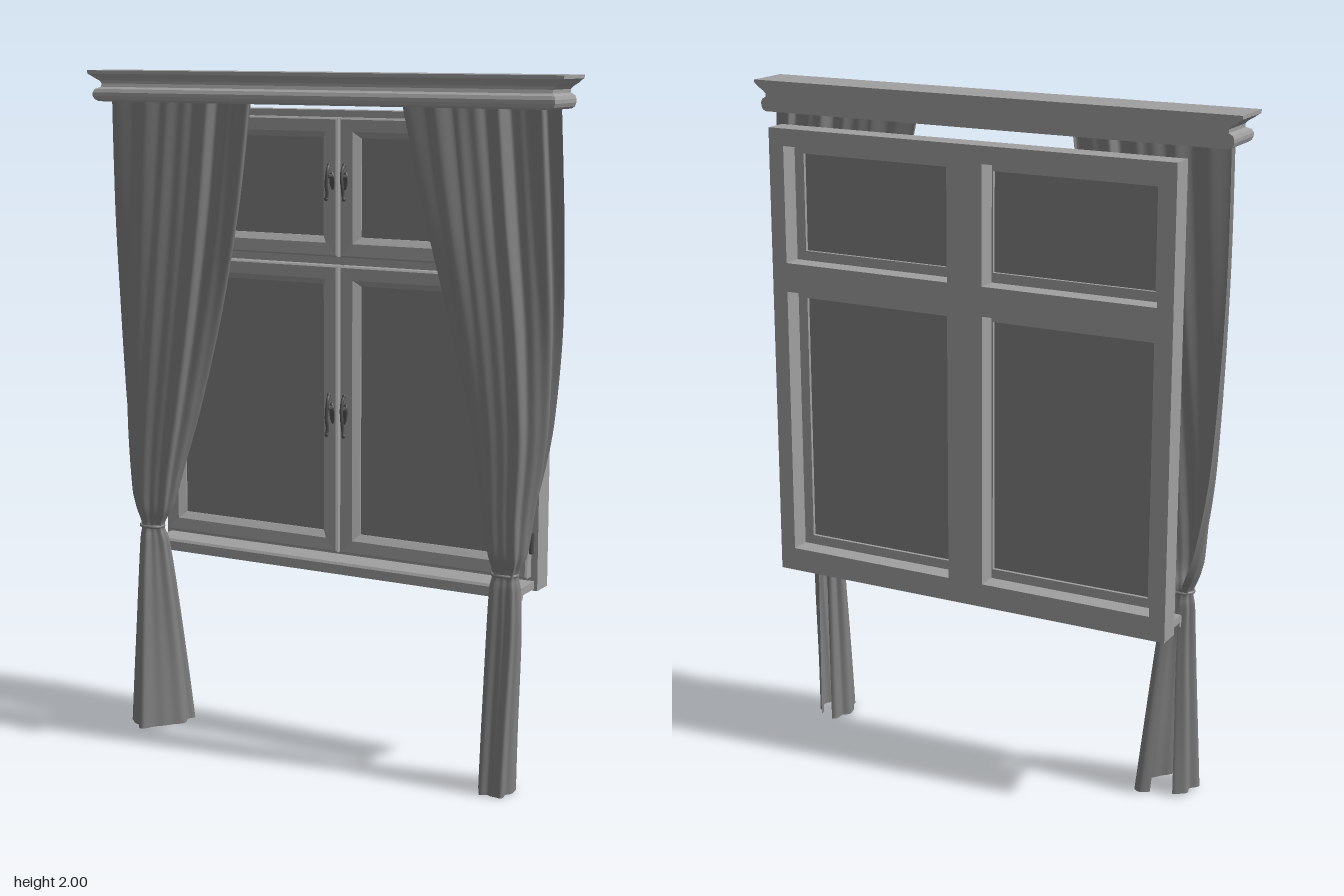
import * as THREE from 'three';

const wood = new THREE.MeshStandardMaterial({ color: 0xa0a0a0, flatShading: true });
const glass = new THREE.MeshStandardMaterial({ color: 0x808080, flatShading: true });
const metal = new THREE.MeshStandardMaterial({ color: 0x505050 });
const cloth = new THREE.MeshStandardMaterial({ color: 0x808080, side: THREE.DoubleSide });

function add(parent, name, geometry, material) {
  const mesh = new THREE.Mesh(geometry, material);
  mesh.name = name;
  parent.add(mesh);
  return mesh;
}

// Joins four-cornered rings into mitred faces; either closes the loop or caps both ends
function loft(rings, closed) {
  const pos = [];
  const quad = (a, b, c, d) => [a, b, c, a, c, d].forEach((p) => pos.push(...p));
  const count = closed ? rings.length : rings.length - 1;
  for (let i = 0; i < count; i++) {
    const a = rings[i], b = rings[(i + 1) % rings.length];
    for (let k = 0; k < 4; k++) {
      const n = (k + 1) % 4;
      quad(a[k], a[n], b[n], b[k]);
    }
  }
  if (!closed) {
    const a = rings[0], b = rings[rings.length - 1];
    quad(a[3], a[2], a[1], a[0]);
    quad(b[0], b[1], b[2], b[3]);
  }
  const g = new THREE.BufferGeometry();
  g.setAttribute('position', new THREE.Float32BufferAttribute(pos, 3));
  g.computeVertexNormals();
  return g;
}

// Moulded cornice, stepping in on the front and both ends; back stays flat
function cornice() {
  const profile = [ // half width, front, height
    [0.724, 0.116, 1.91], [0.734, 0.124, 1.916], [0.738, 0.128, 1.926], [0.738, 0.128, 1.936],
    [0.734, 0.122, 1.946], [0.722, 0.108, 1.952], [0.722, 0.104, 1.962], [0.73, 0.104, 1.97],
    [0.745, 0.111, 1.979], [0.753, 0.118, 1.986], [0.76, 0.122, 1.99], [0.76, 0.122, 2],
  ];
  return loft(profile.map(([x, z, y]) =>
    [[-x, y, z], [x, y, z], [x, y, -0.015], [-x, y, -0.015]]), false);
}

// Opening sash: mitred, gently sloping border and a pane
function sash(parent, x0, x1, y0, y1) {
  const g = new THREE.Group();
  g.name = 'sash';
  parent.add(g);
  const profile = [ // inset, depth
    [0, -0.098], [0, -0.06], [0.005, -0.055], [0.04, -0.059], [0.058, -0.078], [0.058, -0.098],
  ];
  add(g, 'sashBorder', loft(profile.map(([d, z]) =>
    [[x0 + d, y0 + d, z], [x1 - d, y0 + d, z], [x1 - d, y1 - d, z], [x0 + d, y1 - d, z]]), true), wood);
  const pane = add(g, 'pane', new THREE.BoxGeometry(x1 - x0 - 0.11, y1 - y0 - 0.11, 0.006), glass);
  pane.position.set((x0 + x1) / 2, (y0 + y1) / 2, -0.085);
}

// Curved lever on an upright plate
function handle(parent, x, y, side, s) {
  const g = new THREE.Group();
  g.name = 'handle';
  g.position.set(x, y, -0.056);
  g.rotation.z = -side * 0.08;
  g.scale.set(1, s, 1);
  parent.add(g);
  const plate = add(g, 'handlePlate', new THREE.CylinderGeometry(0.008, 0.01, 0.006, 12), metal);
  plate.rotation.x = Math.PI / 2;
  plate.scale.z = 3;
  const stem = add(g, 'handleStem', new THREE.CylinderGeometry(0.005, 0.006, 0.024, 10), metal);
  stem.rotation.x = Math.PI / 2;
  stem.position.set(0, 0.014, 0.012);
  const path = new THREE.CatmullRomCurve3([
    [0, 0.046, 0.012], [0, 0.036, 0.02], [side * 0.002, 0.014, 0.026], [side * 0.006, -0.012, 0.026],
    [side * 0.008, -0.035, 0.02], [side * 0.012, -0.05, 0.021],
  ].map((p) => new THREE.Vector3(...p)));
  add(g, 'handleLever', new THREE.TubeGeometry(path, 20, 0.005, 8), metal);
  for (const t of [0, 1]) {
    const tip = add(g, 'handleTip', new THREE.SphereGeometry(0.006, 10, 8), metal);
    tip.position.copy(path.getPoint(t));
  }
}

// Gathered cloth. Rows: y, xMin, xMax, zBack, zFront, wrap angle, fold depth, skew of the +x half
function curtain(rows, phase) {
  const across = 120, up = 90;
  const splines = rows[0].map((_, c) => new THREE.SplineCurve(rows.map((r, i) => new THREE.Vector2(r[c], i))));
  const pos = [], index = [];
  for (let j = 0; j <= up; j++) {
    const [y, xa, xb, za, zb, wrap, fold, skew] = splines.map((s) => s.getPoint(j / up).x);
    const line = [];
    for (let i = 0; i <= across; i++) {
      const u = (i / across) * 2 - 1, a = wrap * u;
      const r = 1 + fold * (Math.cos(15 * u + phase) + 0.5 * Math.cos(26 * u + 2 * phase + y * 0.8));
      line.push([r * Math.sin(a), r * Math.cos(a) + skew * Math.max(0, Math.sin(a))]);
    }
    // fit the section to its width and depth
    const [lx, hx, lz, hz] = [0, 1].flatMap((k) => {
      const v = line.map((p) => p[k]);
      return [Math.min(...v), Math.max(...v)];
    });
    for (const [x, z] of line) {
      pos.push(xa + ((x - lx) / (hx - lx)) * (xb - xa), y, za + ((z - lz) / (hz - lz)) * (zb - za));
    }
  }
  for (let j = 0; j < up; j++) {
    for (let i = 0; i < across; i++) {
      const a = j * (across + 1) + i, b = a + across + 1;
      index.push(a, b, a + 1, a + 1, b, b + 1);
    }
  }
  const g = new THREE.BufferGeometry();
  g.setAttribute('position', new THREE.Float32BufferAttribute(pos, 3));
  g.setIndex(index);
  g.computeVertexNormals();
  return g;
}

export function createModel() {
  const model = new THREE.Group();
  model.name = 'curtainedWindow';
  add(model, 'cornice', cornice(), wood);

  // Fixed frame with four openings
  const frame = new THREE.Shape();
  frame.moveTo(-0.64, 0.55).lineTo(0.62, 0.55).lineTo(0.62, 1.89).lineTo(-0.64, 1.89).closePath();
  for (const [x0, x1] of [[-0.592, -0.068], [0.042, 0.572]]) {
    for (const [y0, y1] of [[0.62, 1.415], [1.5, 1.84]]) {
      const hole = new THREE.Path();
      hole.moveTo(x0, y0).lineTo(x0, y1).lineTo(x1, y1).lineTo(x1, y0).closePath();
      frame.holes.push(hole);
    }
  }
  const body = add(model, 'windowFrame', new THREE.ExtrudeGeometry(frame, { depth: 0.07, bevelEnabled: false }), wood);
  body.position.z = -0.157;

  // Sashes, hinges and handles
  for (const [y0, y1, handleY, s, hingeInset] of [[0.59, 1.445, 1.01, 1.2, 0.1], [1.47, 1.87, 1.69, 1, 0.06]]) {
    sash(model, -0.62, -0.014, y0, y1);
    sash(model, -0.006, 0.6, y0, y1);
    for (const side of [-1, 1]) {
      handle(model, -0.01 + side * 0.021, handleY, side, s);
      for (const y of [y0 + hingeInset, y1 - hingeInset]) {
        const hinge = add(model, 'hinge', new THREE.CylinderGeometry(0.008, 0.008, 0.06, 10), metal);
        hinge.position.set(-0.01 + side * 0.614, y, -0.077);
      }
    }
  }

  // Sill with a dropped front lip
  const sill = new THREE.Shape();
  sill.moveTo(-0.09, 0.555).lineTo(-0.012, 0.555).lineTo(-0.01, 0.541).lineTo(0, 0.541)
    .lineTo(0.002, 0.57).lineTo(-0.004, 0.577).lineTo(-0.09, 0.578).closePath();
  const ledge = add(model, 'sill', new THREE.ExtrudeGeometry(sill, { depth: 1.235, bevelEnabled: false }), wood);
  ledge.rotation.y = -Math.PI / 2;
  ledge.position.x = 0.61;

  // Curtains
  add(model, 'rightCurtain', curtain([
    [1.93, -0.71, -0.232, 0.035, 0.112, 0.8, 0.07, 0], [1.6, -0.717, -0.285, 0.02, 0.114, 1.0, 0.07, 0],
    [1.3, -0.717, -0.355, 0.006, 0.11, 1.3, 0.07, 0], [1.0, -0.705, -0.44, 0.004, 0.105, 1.7, 0.07, 0],
    [0.8, -0.68, -0.505, 0.006, 0.102, 2.1, 0.08, 0], [0.69, -0.658, -0.538, 0.01, 0.098, 2.5, 0.1, 0],
    [0.63, -0.638, -0.562, 0.026, 0.084, 2.8, 0.12, 0], [0.58, -0.643, -0.55, 0.018, 0.094, 2.8, 0.12, -0.2],
    [0.45, -0.646, -0.535, 0.005, 0.115, 2.8, 0.11, -0.5], [0.2, -0.655, -0.515, -0.016, 0.138, 2.75, 0.1, -0.9],
    [0.008, -0.663, -0.498, -0.03, 0.155, 2.7, 0.1, -0.9],
  ], 0.6), cloth);
  add(model, 'leftCurtain', curtain([
    [1.93, 0.248, 0.72, 0.035, 0.112, 0.8, 0.07, 0], [1.6, 0.315, 0.726, 0.02, 0.114, 1.0, 0.07, 0],
    [1.3, 0.39, 0.722, 0.006, 0.11, 1.3, 0.07, 0], [1.0, 0.465, 0.695, 0.004, 0.105, 1.7, 0.07, 0],
    [0.8, 0.51, 0.662, 0.006, 0.102, 2.1, 0.08, 0], [0.69, 0.528, 0.644, 0.01, 0.098, 2.5, 0.1, 0],
    [0.63, 0.545, 0.622, 0.026, 0.084, 2.8, 0.12, 0], [0.58, 0.537, 0.628, 0.02, 0.092, 2.8, 0.12, 0.1],
    [0.45, 0.531, 0.634, 0.012, 0.104, 2.8, 0.11, 0.2], [0.2, 0.522, 0.63, 0, 0.12, 2.75, 0.1, 0.3],
    [0, 0.515, 0.626, -0.01, 0.13, 2.7, 0.1, 0.3],
  ], 2.1), cloth);

  // Cords tying the cloth
  for (const x of [-0.6, 0.583]) {
    const tie = add(model, 'tieBand', new THREE.TorusGeometry(0.037, 0.005, 8, 32), cloth);
    tie.rotation.x = Math.PI / 2;
    tie.scale.y = 0.78;
    tie.position.set(x, 0.628, 0.055);
  }
  return model;
}
